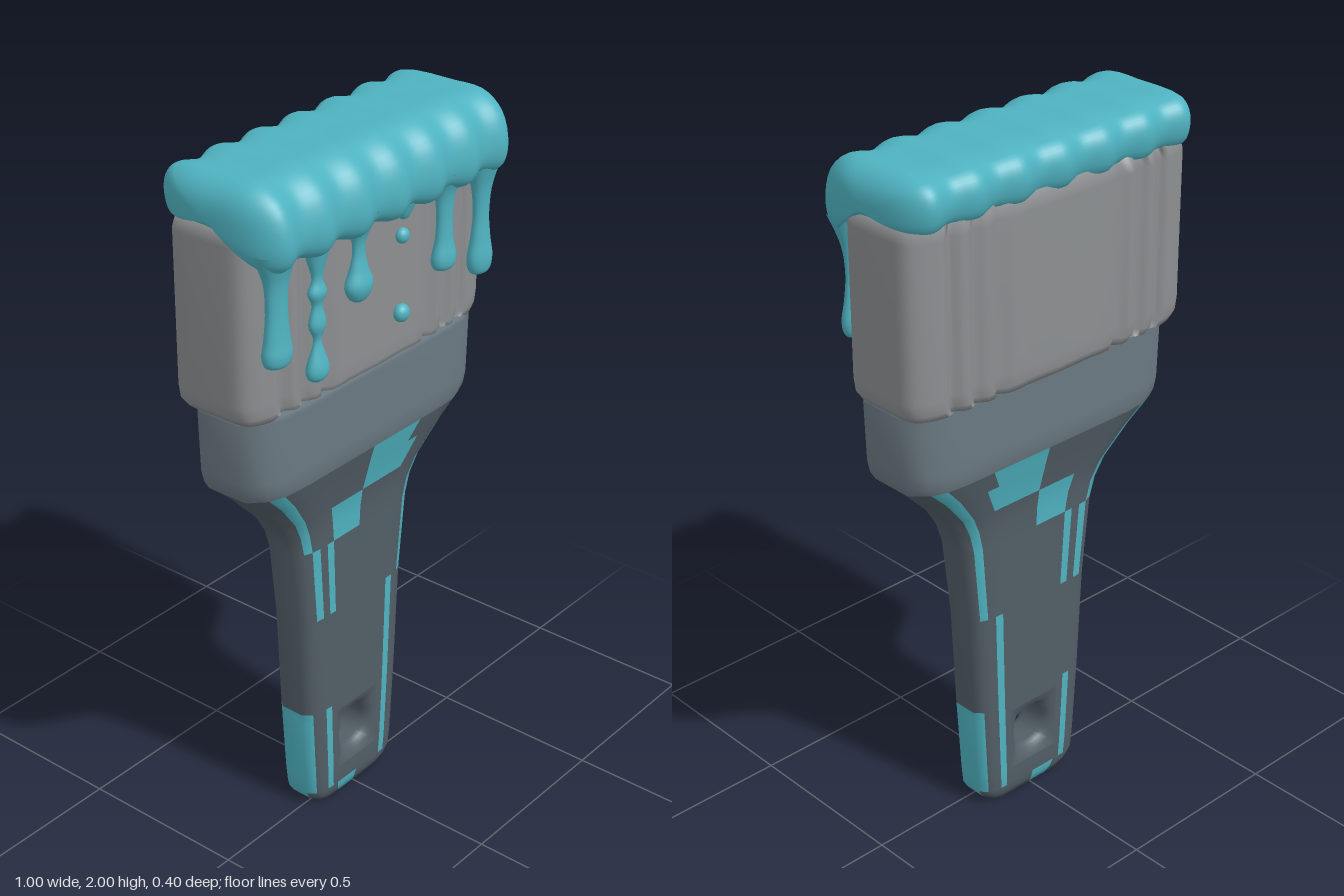
import * as THREE from 'three';

const V = (x, y, z) => new THREE.Vector3(x, y, z);
const ZC = -0.018; // centre plane of handle and ferrule

const mat = (color) => new THREE.MeshStandardMaterial({ color });
const PAINT = mat(0x4fb3c1), HANDLE = mat(0x525e66), METAL = mat(0x6b7982), BRISTLE = mat(0x8c8f91);

// Skin over closed loops; keep(row, column) selects faces after smooth normals are made
function loft(loops, keep = () => true) {
  const n = loops[0].length, all = [], kept = [];
  for (let j = 0; j < loops.length - 1; j++) {
    for (let i = 0; i < n; i++) {
      const k = (i + 1) % n, a = j * n + i, b = j * n + k;
      const quad = [a, a + n, b + n, a, b + n, b];
      all.push(...quad);
      if (keep(j, i)) kept.push(...quad);
    }
  }
  const g = new THREE.BufferGeometry().setFromPoints(loops.flat());
  g.setIndex(all);
  g.computeVertexNormals();
  g.setIndex(kept);
  return g;
}

// Soft rectangular cross-section, as fractions of half width and half depth
const QUADRANT = [[0, 1], [0.45, 1], [0.56, 1], [0.68, 0.99], [0.8, 0.95], [0.9, 0.83], [1, 0.5]];
const FRONT = [...QUADRANT.slice(1).reverse(), ...QUADRANT.map(([x, z]) => [-x, z])];
const SECTION = [...FRONT, ...FRONT.map(([x, z]) => [-x, -z])];
const ring = ([y, w, d]) => SECTION.map(([x, z]) => V(x * w, y, z * d + ZC));
const flatCap = (loop) => loop.map((p) => V(0, p.y, ZC));

// Handle rows: height, half width, half depth
const ROWS = [[0, 0.14, 0.052], [0.02, 0.165, 0.06], [0.045, 0.18, 0.066], [0.1, 0.185, 0.068], [0.3, 0.198, 0.07],
  [0.33, 0.2, 0.07], [0.64, 0.215, 0.072], [0.87, 0.24, 0.075], [0.93, 0.258, 0.078], [0.985, 0.29, 0.086],
  [1.07, 0.37, 0.108], [1.13, 0.44, 0.125]];

// Painted blocks: from height, to height, side of x, columns counted from the middle (6 is the side)
const BLOCKS = [[1.07, 1.13, 1, [0, 4]], [1.07, 1.13, -1, [4]], [0.985, 1.07, 1, [0, 1, 4]], [0.985, 1.07, -1, [4]],
  [0.87, 0.985, -1, [0, 4]], [0.87, 0.985, 1, [4]], [0.64, 0.87, -1, [1, 3]], [0.64, 0.87, 1, [4]],
  [0.33, 0.64, 1, [2]], [0.045, 0.33, 1, [2, 5, 6]], [0.045, 0.33, -1, [2, 5, 6]],
  [0, 0.045, -1, [0, 6]], [0, 0.045, 1, [6]]];

function column(i) {
  if (i === 12) return [-1, 6];
  if (i === 25) return [1, 6];
  const front = i < 12, k = front ? i : i - 13;
  return [(k < 6) === front ? 1 : -1, k < 6 ? 5 - k : k - 6];
}

function isPainted(j, i) {
  if (j === 0) return false;
  const [side, c] = column(i), y = (ROWS[j - 1][0] + ROWS[j][0]) / 2;
  return BLOCKS.some(([a, b, s, cols]) => y > a && y < b && s === side && cols.includes(c));
}

const isHole = (j, i) => j === 4 && column(i)[1] === 0;

// Dished hanging hole joining the openings on the front and back of the handle
function hangingHole() {
  const loop = (t, depth) => Array.from({ length: 32 }, (_, k) => {
    const a = (k / 32) * Math.PI * 2, c = Math.cos(a), s = Math.sin(a), m = Math.max(Math.abs(c), Math.abs(s));
    const v = s / m, w = 0.45 * (0.1915 + 0.0065 * v);
    return V(THREE.MathUtils.lerp(0.062 * c, w * c / m, t), 0.2 + THREE.MathUtils.lerp(0.062 * s, 0.1 * v, t),
      ZC + depth * (0.069 + 0.001 * v));
  });
  return loft([loop(1, -1), loop(0.5, -0.92), loop(0.15, -0.72), loop(0, -0.5),
    loop(0, 0.5), loop(0.15, 0.72), loop(0.5, 0.92), loop(1, 1)]);
}

// Bristle block with vertical grooves on both faces
function bristles() {
  const N = 160;
  const loop = (y, grow, zc) => Array.from({ length: N }, (_, i) => {
    const a = (i / N) * Math.PI * 2, c = Math.cos(a), s = Math.sin(a);
    const x = Math.sign(c) * Math.abs(c) ** 0.45 * 0.485;
    let z = Math.sign(s) * Math.abs(s) ** 0.3 * 0.152;
    for (const g of [0.1, 0.21, 0.285, 0.36]) {
      z *= 1 - (g < 0.2 ? 0.04 : 0.13) * Math.exp(-(((Math.abs(x) - g) / 0.016) ** 2));
    }
    return V(x * grow, y, z * grow + zc);
  });
  const bottom = loop(1.365, 0.96, -0.03), top = loop(1.885, 0.97, -0.03);
  return loft([flatCap(bottom), bottom, loop(1.385, 0.99, -0.032), loop(1.42, 1, -0.032),
    loop(1.84, 1, -0.032), top, flatCap(top)]);
}

// Rippled coat of paint, swept across the width
function paintCoat() {
  const profile = new THREE.CatmullRomCurve3([[-0.16, 1.992], [0, 2], [0.11, 1.995], [0.175, 1.945], [0.198, 1.86],
    [0.185, 1.805], [0.15, 1.785], [0.11, 1.82], [0.03, 1.865], [-0.1, 1.875], [-0.18, 1.87], [-0.2, 1.92],
    [-0.192, 1.965]].map(([z, y]) => V(0, y, z)), true).getPoints(48).slice(0, -1);
  const loops = [];
  for (let k = 0; k <= 120; k++) {
    const t = Math.cos((k / 120) * Math.PI), x = t * 0.5;
    const end = Math.max(0, 1 - Math.abs(t) ** 20) ** 0.45;
    const s = end * (1 - 0.05 * (1 - Math.cos((x / 0.143) * Math.PI * 2)));
    loops.push(profile.map((p) => V(x, 1.9 + (p.y - 1.9) * s, p.z * s)));
  }
  return loft(loops);
}

// Drips: x, then radius and height from the tip up
const DRIPS = [
  [-0.41, [[0, 1.53], [0.036, 1.537], [0.047, 1.565], [0.04, 1.61], [0.034, 1.68], [0.04, 1.76], [0.075, 1.84]]],
  [-0.26, [[0, 1.43], [0.03, 1.445], [0.036, 1.475], [0.016, 1.53], [0.014, 1.555], [0.028, 1.59], [0.017, 1.64],
    [0.03, 1.675], [0.017, 1.71], [0.027, 1.75], [0.06, 1.84]]],
  [-0.1, [[0, 1.59], [0.03, 1.605], [0.046, 1.64], [0.03, 1.685], [0.02, 1.73], [0.03, 1.775], [0.075, 1.84]]],
  [0.08, [[0, 1.755], [0.022, 1.77], [0.06, 1.84]]],
  [0.25, [[0, 1.56], [0.032, 1.567], [0.042, 1.595], [0.03, 1.65], [0.028, 1.72], [0.038, 1.78], [0.075, 1.84]]],
  [0.41, [[0, 1.495], [0.033, 1.503], [0.044, 1.54], [0.034, 1.6], [0.028, 1.67], [0.038, 1.75], [0.075, 1.84]]],
];

export function createModel() {
  const model = new THREE.Group();
  const add = (name, geometry, material, parent = model) => {
    const mesh = new THREE.Mesh(geometry, material);
    mesh.name = name;
    parent.add(mesh);
    return mesh;
  };

  // Handle with its painted blocks
  const rings = ROWS.map(ring), handleLoops = [flatCap(rings[0]), ...rings];
  add('handle', loft(handleLoops, (j, i) => !isPainted(j, i) && !isHole(j, i)), HANDLE);
  add('handlePaint', loft(handleLoops, isPainted), PAINT);
  add('hangingHole', hangingHole(), HANDLE);

  // Ferrule
  const collar = [[1.13, 0.44, 0.125], [1.155, 0.454, 0.132], [1.19, 0.461, 0.135], [1.36, 0.466, 0.137],
    [1.372, 0.462, 0.135]].map(ring);
  add('ferrule', loft([...collar, flatCap(collar[4])]), METAL);

  add('bristles', bristles(), BRISTLE);
  add('paintCoat', paintCoat(), PAINT);

  // Flattened drips and loose drops on the front
  const drips = new THREE.Group();
  drips.name = 'drips';
  model.add(drips);
  for (const [x, pts] of DRIPS) {
    const curve = new THREE.SplineCurve(pts.map(([r, y]) => new THREE.Vector2(r, y)));
    const outline = curve.getPoints(40).map((p) => p.setX(Math.max(0, p.x)));
    const drip = add('drip', new THREE.LatheGeometry(outline, 20), PAINT, drips);
    drip.position.set(x, 0, 0.132);
    drip.scale.z = 0.65;
  }
  for (const [y, r] of [[1.71, 0.021], [1.495, 0.025]]) {
    const drop = add('drop', new THREE.SphereGeometry(r, 16, 12), PAINT, drips);
    drop.position.set(0.08, y, 0.128);
    drop.scale.z = 0.8;
  }
  return model;
}
